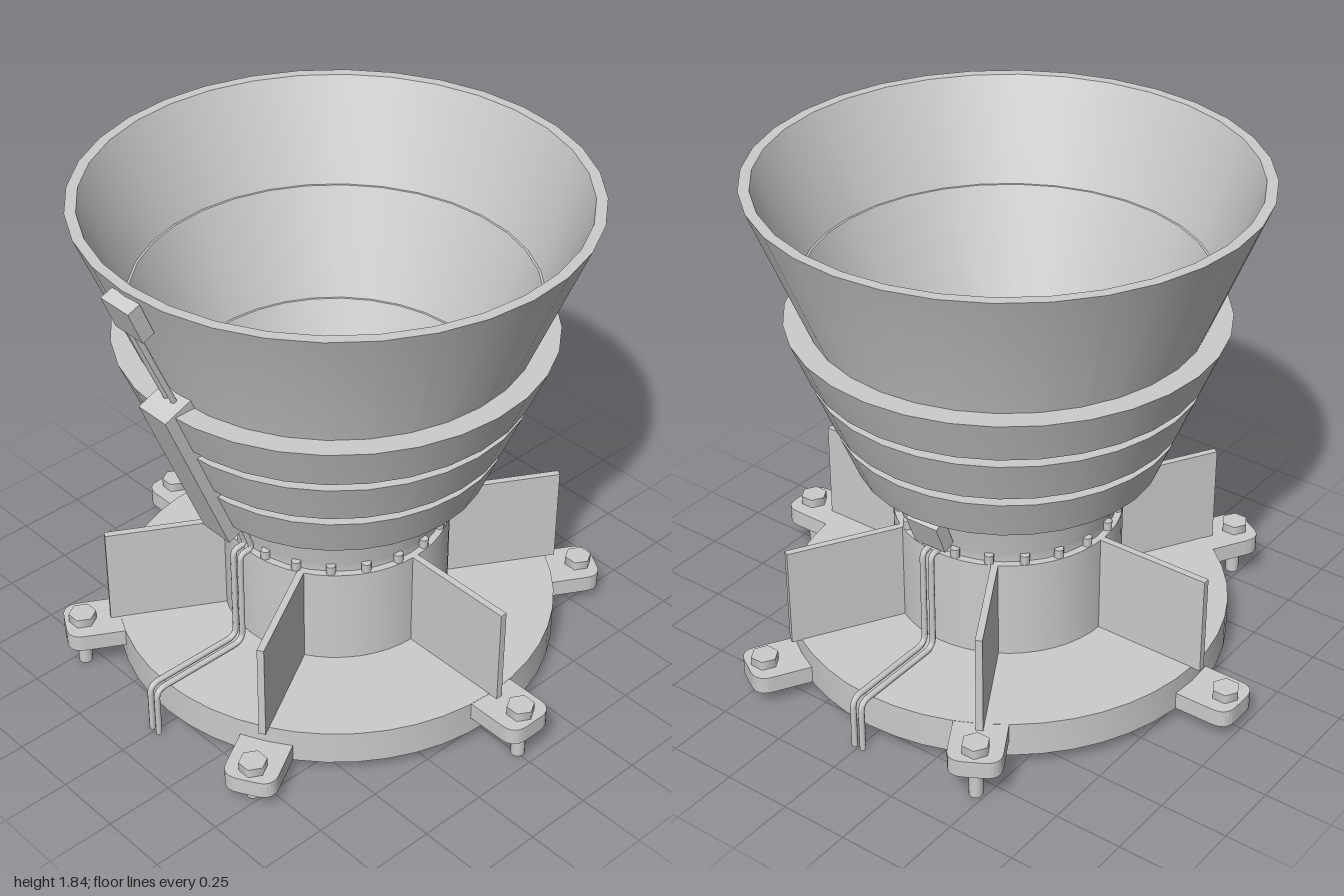
import * as THREE from 'three';
import { toCreasedNormals } from 'three/addons/utils/BufferGeometryUtils.js';

const material = new THREE.MeshStandardMaterial({ color: 0xcccccc });
const SLOPE = 0.4; // outward growth of the cone per unit of height
const coneRadius = (y) => 0.385 + SLOPE * (y - 0.59);

function add(parent, name, geometry, x = 0, y = 0, z = 0) {
  const mesh = new THREE.Mesh(geometry, material);
  mesh.name = name;
  mesh.position.set(x, y, z);
  parent.add(mesh);
  return mesh;
}

function lathe(points, segments) {
  const profile = points.map(([r, y]) => new THREE.Vector2(r, y));
  return toCreasedNormals(new THREE.LatheGeometry(profile, segments), 0.5);
}

// Flat lug with rounded outer corners, running along +z
function lugGeometry() {
  const w = 0.095, end = 1.0, c = 0.06;
  const s = new THREE.Shape();
  s.moveTo(-w, -0.7);
  s.lineTo(w, -0.7);
  s.lineTo(w, -end + c);
  s.quadraticCurveTo(w, -end, w - c, -end);
  s.lineTo(-w + c, -end);
  s.quadraticCurveTo(-w, -end, -w, -end + c);
  s.closePath();
  const g = new THREE.ExtrudeGeometry(s, { depth: 0.065, bevelEnabled: false, curveSegments: 6 });
  return g.rotateX(-Math.PI / 2);
}

// Tube through points with softly rounded bends
function bentTube(points, z, radius = 0.011) {
  const p = points.map(([x, y]) => new THREE.Vector3(x, y, z));
  const path = new THREE.CurvePath();
  let from = p[0];
  for (let i = 1; i < p.length - 1; i++) {
    const before = p[i].clone().sub(p[i - 1]), after = p[i + 1].clone().sub(p[i]);
    const bend = Math.min(0.04, before.length() * 0.45, after.length() * 0.45);
    const a = p[i].clone().addScaledVector(before.normalize(), -bend);
    const b = p[i].clone().addScaledVector(after.normalize(), bend);
    path.add(new THREE.LineCurve3(from, a));
    path.add(new THREE.QuadraticBezierCurve3(a, p[i], b));
    from = b;
  }
  path.add(new THREE.LineCurve3(from, p[p.length - 1]));
  return new THREE.TubeGeometry(path, 90, radius, 8, false);
}

export function createModel() {
  const model = new THREE.Group();
  model.name = 'coneOnBase';
  const body = new THREE.Group();
  body.name = 'body';
  body.position.x = 0.008;
  model.add(body);

  // Base disc with centre bore and hub
  add(body, 'baseAndHub', lathe([
    [0, 0.5], [0.128, 0.5], [0.128, 0.055], [0.8, 0.055], [0.8, 0.187],
    [0.41, 0.187], [0.41, 0.56], [0.3, 0.56],
  ], 48));

  // Hollow cone with slight inner steps and a floor
  add(body, 'cone', lathe([
    [0.385, 0.55], [0.385, 0.59], [coneRadius(1.835), 1.835], [0.845, 1.835],
    [0.703, 1.47], [0.695, 1.47], [0.549, 1.085], [0.541, 1.085],
    [0.438, 0.81], [0.43, 0.81], [0.357, 0.61], [0, 0.61],
  ], 32));
  add(body, 'floorBoss', new THREE.CylinderGeometry(0.085, 0.085, 0.02, 32), 0, 0.62, 0);
  add(body, 'floorStud', new THREE.CylinderGeometry(0.045, 0.045, 0.02, 24), 0, 0.64, 0);

  // Stacked reinforcing rings around the cone
  for (const [low, high] of [[0.775, 0.935], [0.97, 1.135], [1.17, 1.335]]) {
    const t = 0.08;
    add(body, 'coneRing', lathe([
      [coneRadius(low) - 0.01, low], [coneRadius(low) + t, low],
      [coneRadius(high) + t, high], [coneRadius(high) - 0.01, high],
    ], 32));
  }

  // Ring of small bolts on the hub
  const hubBolt = new THREE.CylinderGeometry(0.018, 0.018, 0.034, 6);
  for (let i = 0; i < 20; i++) {
    const a = ((i + 0.5) / 20) * Math.PI * 2;
    add(body, 'hubBolt', hubBolt, Math.sin(a) * 0.392, 0.576, Math.cos(a) * 0.392);
  }

  // Six fins and six mounting lugs at alternating heights
  const lug = lugGeometry();
  const fin = new THREE.BoxGeometry(0.025, 0.375, 0.445);
  const head = new THREE.CylinderGeometry(0.05, 0.05, 0.034, 6);
  for (let i = 0; i < 6; i++) {
    const arm = new THREE.Group();
    arm.name = 'mountingArm';
    arm.rotation.y = (i * Math.PI) / 3;
    body.add(arm);
    const y = i % 2 ? 0.056 : 0.121;
    add(arm, 'fin', fin, 0, 0.3725, 0.6125);
    add(arm, 'lug', lug, 0, y, 0);
    add(arm, 'boltHead', head, 0, y + 0.082, 0.935);
    const length = y + 0.03;
    add(arm, 'boltShaft', new THREE.CylinderGeometry(0.025, 0.025, length, 16), 0, length / 2, 0.935);
  }

  // Paired conduits running down the hub, across the base and over its edge
  const lower = [[0.41, 0.588], [0.467, 0.588], [0.467, 0.2], [0.86, 0.2], [0.86, 0]];
  const tilt = Math.atan(SLOPE);
  for (const z of [-0.018, 0.018]) {
    add(body, 'leftConduit', bentTube([[0.445, 0.65], ...lower], z));
    add(body, 'rightConduit', bentTube([[-0.475, 0.77], ...lower.map(([x, y]) => [-x, y])], z));
    add(body, 'sensorRod', bentTube([[-0.865, 1.7], [-0.79, 1.52], [-0.7, 1.31]], z));
  }

  // Small box low on the left, housing and end box up the right
  const boxes = [
    ['leftSensorBox', 0.05, 0.125, 0.13, 0.448, 0.675],
    ['conduitHousing', 0.118, 0.66, 0.135, -0.62, 1.045],
    ['rightSensorBox', 0.05, 0.135, 0.135, -0.868, 1.74],
  ];
  for (const [name, w, h, d, x, y] of boxes) {
    add(body, name, new THREE.BoxGeometry(w, h, d), x, y, 0).rotation.z = x > 0 ? -tilt : tilt;
  }
  return model;
}
